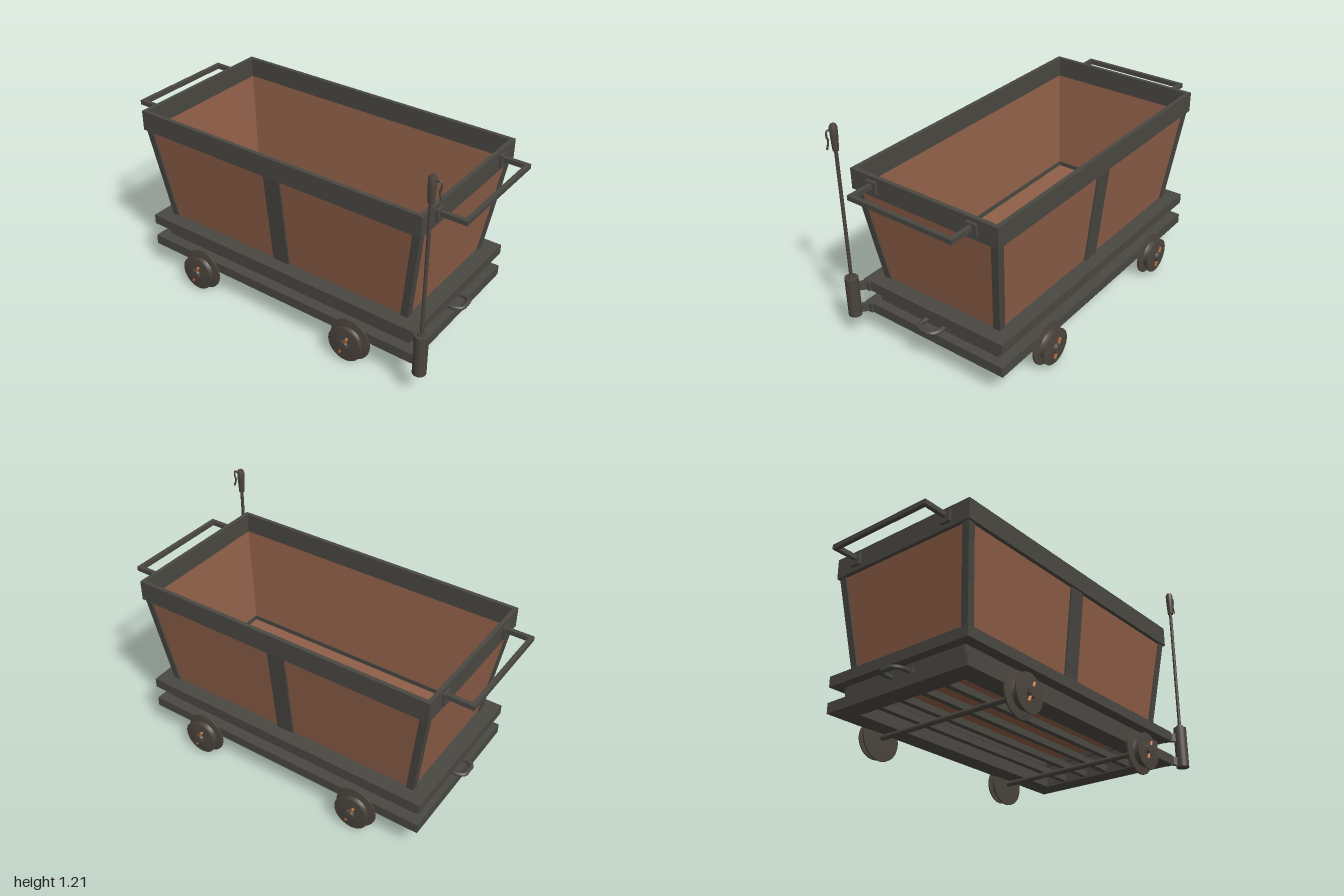
import * as THREE from 'three';
import { toCreasedNormals } from 'three/addons/utils/BufferGeometryUtils.js';

const material = (name, color, extra = {}) => {
  const m = new THREE.MeshStandardMaterial({ color, ...extra });
  m.name = name;
  return m;
};

export function createModel() {
  const root = new THREE.Group();
  root.name = 'mineCart';
  const frameMat = material('dark iron', 0x4a4842);
  const wheelMat = material('worn iron', 0x4b443d);
  const panelMat = material('rusty brown', 0x8f5f48, { side: THREE.DoubleSide });
  const pinMat = material('copper', 0xb06a3c);

  const add = (name, geo, mat, x = 0, y = 0, z = 0, parent = root) => {
    const mesh = new THREE.Mesh(geo, mat);
    mesh.name = name;
    mesh.position.set(x, y, z);
    parent.add(mesh);
    return mesh;
  };
  const box = (name, w, h, d, x, y, z, mat = frameMat, parent = root) =>
    add(name, new THREE.BoxGeometry(w, h, d), mat, x, y, z, parent);

  // Rectangular ring given by outer and inner half sizes
  const ring = (name, x, z, xi, zi, y0, y1) => {
    const rect = (P, a, b) => new P([[-a, -b], [a, -b], [a, b], [-a, b]].map(p => new THREE.Vector2(...p)));
    const shape = rect(THREE.Shape, x, z);
    shape.holes.push(rect(THREE.Path, xi, zi));
    const geo = new THREE.ExtrudeGeometry(shape, { depth: y1 - y0, bevelEnabled: false });
    geo.rotateX(-Math.PI / 2);
    add(name, geo, frameMat, 0, y0, 0);
  };

  // Box whose lower end is shifted sideways, for straps on sloping walls
  const strap = (name, w, d, x, z, dx, dz) => {
    const geo = new THREE.BoxGeometry(w, 0.56, d);
    const p = geo.attributes.position;
    for (let i = 0; i < p.count; i++)
      if (p.getY(i) < 0) p.setXYZ(i, p.getX(i) + dx, p.getY(i), p.getZ(i) + dz);
    geo.computeVertexNormals();
    add(name, geo, frameMat, x, 0.59, z);
  };

  // Tub: open-topped tapered box
  const tub = new THREE.BoxGeometry(1.66, 0.56, 0.84);
  const tp = tub.attributes.position;
  for (let i = 0; i < tp.count; i++)
    if (tp.getY(i) < 0) tp.setXYZ(i, Math.sign(tp.getX(i)) * 0.75, -0.28, Math.sign(tp.getZ(i)) * 0.355);
  tub.setIndex([...tub.index.array].filter((_, i) => i < 12 || i >= 18));
  tub.clearGroups();
  tub.computeVertexNormals();
  add('tub', tub, panelMat, 0, 0.585, 0);

  ring('tubRim', 0.85, 0.44, 0.828, 0.418, 0.86, 0.97);
  for (const s of [-1, 1]) {
    strap('middleStrap', 0.1, 0.009, 0, s * 0.4265, 0, -s * 0.065);
    for (const t of [-1, 1]) {
      strap('cornerStrapEnd', 0.009, 0.04, s * 0.8365, t * 0.411, -s * 0.08, -t * 0.065);
      strap('cornerStrapSide', 0.04, 0.009, s * 0.821, t * 0.4265, -s * 0.08, -t * 0.065);
    }
  }

  // Undercarriage
  ring('upperFrame', 0.84, 0.44, 0.75, 0.352, 0.275, 0.33);
  ring('middleFrame', 0.79, 0.38, 0.765, 0.355, 0.195, 0.275);
  ring('lowerFrame', 0.84, 0.44, 0.73, 0.33, 0.14, 0.195);
  for (const z of [-0.21, -0.07, 0.07, 0.21])
    box('floorBar', 1.48, 0.035, 0.03, 0, 0.165, z);

  // Handles and couplings at both ends
  for (const s of [-1, 1]) {
    for (const t of [-1, 1]) {
      box('handlePlate', 0.015, 0.065, 0.06, s * 0.857, 0.917, t * 0.3);
      box('handleArm', 0.14, 0.025, 0.022, s * 0.92, 0.925, t * 0.299);
    }
    box('handleBar', 0.022, 0.025, 0.62, s * 0.989, 0.925, 0);
    box('couplingPlate', 0.015, 0.045, 0.16, s * 0.795, 0.232, 0);
    const loop = new THREE.CatmullRomCurve3(
      [[0.79, -0.055], [0.85, -0.055], [0.88, -0.035], [0.883, 0], [0.88, 0.035], [0.85, 0.055], [0.79, 0.055]]
        .map(([x, z]) => new THREE.Vector3(s * x, 0.232, z)));
    add('couplingLoop', new THREE.TubeGeometry(loop, 24, 0.012, 8), frameMat);
  }

  // Axles and flanged wheels
  const profile = [[0, 0.43], [0.115, 0.438], [0.115, 0.446], [0.075, 0.452], [0.068, 0.468], [0.07, 0.486],
    [0.097, 0.487], [0.097, 0.494], [0.03, 0.5], [0.026, 0.515], [0, 0.517]]
    .map(p => new THREE.Vector2(...p));
  const wheelGeo = toCreasedNormals(new THREE.LatheGeometry(profile, 32), 0.7);
  wheelGeo.rotateX(Math.PI / 2);
  for (const x of [-0.49, 0.49]) {
    const axle = add('axle', new THREE.CylinderGeometry(0.014, 0.014, 0.88, 16), wheelMat, x, 0.117, 0);
    axle.rotation.x = Math.PI / 2;
    for (const s of [-1, 1]) {
      const wheel = new THREE.Group();
      wheel.name = 'wheel';
      wheel.position.set(x, 0.115, 0);
      if (s < 0) wheel.rotation.y = Math.PI;
      root.add(wheel);
      add('wheelBody', wheelGeo, wheelMat, 0, 0, 0, wheel);
      const pin = add('axlePin', new THREE.CylinderGeometry(0.008, 0.008, 0.11, 8), pinMat, 0, 0, 0.505, wheel);
      pin.rotation.z = -0.4;
    }
  }

  // Brake lever on the front left corner
  const lever = new THREE.Group();
  lever.name = 'brakeLever';
  lever.position.set(0.9, 0, 0.465);
  root.add(lever);
  const turned = (name, pts) => add(name, toCreasedNormals(
    new THREE.LatheGeometry(pts.map(p => new THREE.Vector2(...p)), 20), 0.6), wheelMat, 0, 0, 0, lever);
  turned('leverSocket', [[0, 0.135], [0.035, 0.135], [0.035, 0.362], [0.02, 0.364], [0.018, 0.376], [0, 0.376]]);
  turned('leverRod', [[0, 0.3], [0.009, 0.3], [0.009, 1.1], [0, 1.1]]);
  turned('leverGrip', [[0, 1.075], [0.015, 1.076], [0.019, 1.15], [0.02, 1.195], [0.014, 1.21], [0, 1.21]]);
  const trigger = new THREE.CatmullRomCurve3(
    [[0.01, 1.185], [0.04, 1.19], [0.045, 1.165], [0.038, 1.14], [0.05, 1.1]]
      .map(([x, y]) => new THREE.Vector3(x, y, 0)));
  add('leverTrigger', new THREE.TubeGeometry(trigger, 16, 0.005, 6), wheelMat, 0, 0, 0, lever);
  for (const y of [0.167, 0.302]) {
    box('leverBracketPlate', 0.012, 0.05, 0.045, 0.845, y, 0.417);
    const arm = box('leverBracket', 0.07, 0.045, 0.02, 0.87, y, 0.443);
    arm.rotation.y = -0.7;
  }
  return root;
}
